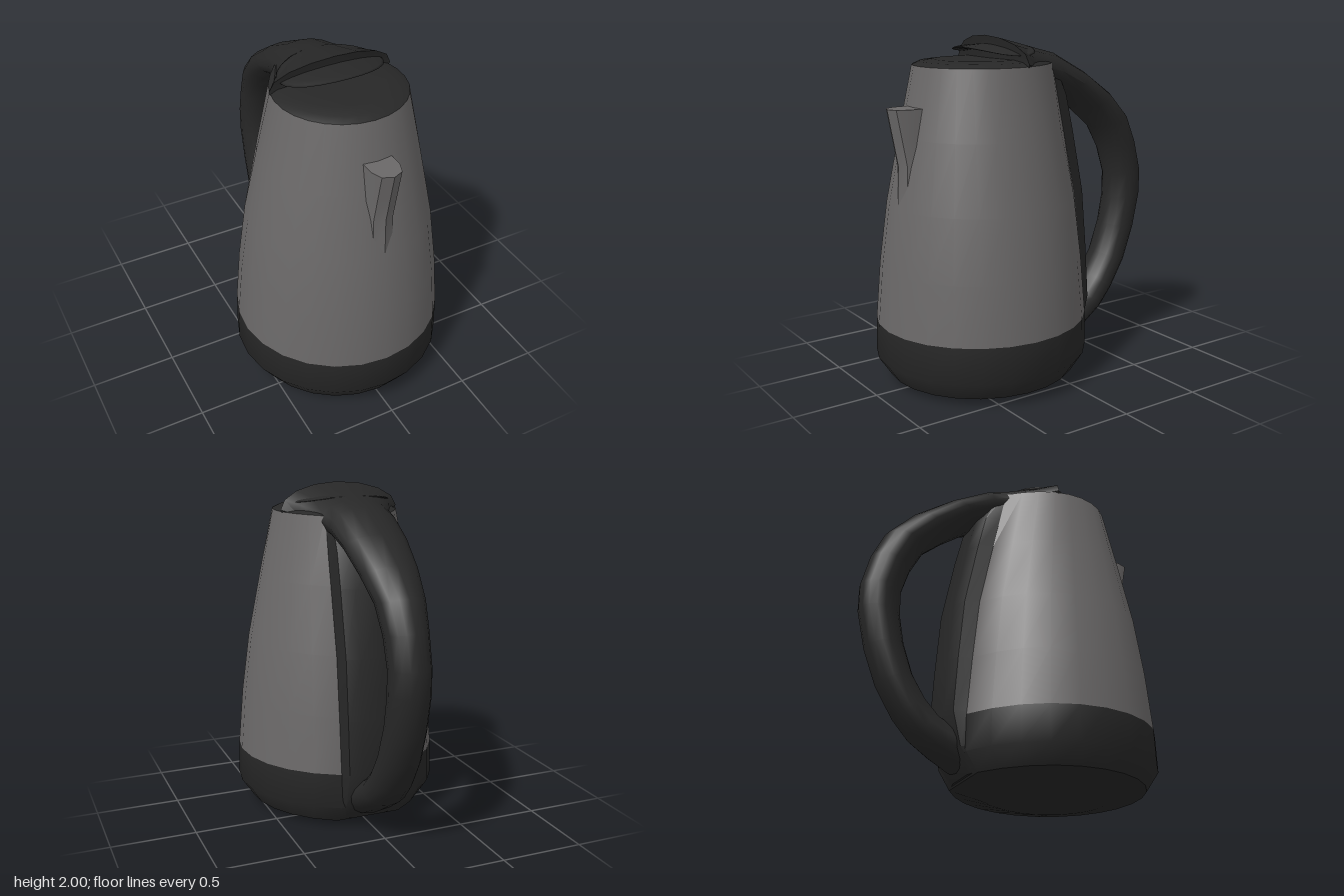
import * as THREE from 'three';
import { toCreasedNormals } from 'three/addons/utils/BufferGeometryUtils.js';

const steel = new THREE.MeshStandardMaterial({ color: 0x6a6868 });
const plastic = new THREE.MeshStandardMaterial({ color: 0x272727 });
const AXIS_Z = 0.3; // the jug axis sits forward of the centre, the handle behind it
const BACK_X = 0.2; // half width of the spine at the back of the jug

// Skin a list of closed rings; each ring runs counter-clockwise about the sweep direction
function loft(name, material, rings, { capStart = false, capEnd = false, crease = 0.75 } = {}) {
  const m = rings[0].length;
  const points = rings.flat();
  const index = [];
  for (let i = 0; i < rings.length - 1; i++) {
    for (let j = 0; j < m; j++) {
      const a = i * m + j;
      const b = i * m + ((j + 1) % m);
      index.push(a, b, b + m, a, b + m, a + m);
    }
  }
  const cap = (ring, first, flip) => {
    const centre = points.length;
    points.push([0, 1, 2].map((k) => ring.reduce((sum, p) => sum + p[k], 0) / m));
    for (let j = 0; j < m; j++) {
      const a = first + j;
      const b = first + ((j + 1) % m);
      index.push(centre, flip ? b : a, flip ? a : b);
    }
  };
  if (capStart) cap(rings[0], 0, true);
  if (capEnd) cap(rings[rings.length - 1], (rings.length - 1) * m, false);
  const geometry = new THREE.BufferGeometry();
  geometry.setAttribute('position', new THREE.Float32BufferAttribute(points.flat(), 3));
  geometry.setIndex(index);
  const mesh = new THREE.Mesh(toCreasedNormals(geometry, crease), material);
  mesh.name = name;
  return mesh;
}

// Round jug section, drawn out at the back to two corners at depth backZ
function jugRing([y, r, backZ]) {
  const n = 11;
  const end = Math.PI - Math.asin(BACK_X / r);
  const flare = backZ - (AXIS_Z + r * Math.cos(end));
  const ring = [];
  for (let i = -n; i <= n; i++) {
    const t = i / n;
    ring.push([r * Math.sin(t * end), y, AXIS_Z + r * Math.cos(t * end) + flare * t ** 6]);
  }
  return ring;
}

// Flat-fronted spine section between the jug corners
function spineRing([y, joinZ, backZ]) {
  const half = [[BACK_X, joinZ], [0.175, joinZ + (backZ - joinZ) * 0.7], [0.1, backZ]];
  return [
    ...half.map(([x, z]) => [x, y, z]),
    ...half.reverse().map(([x, z]) => [-x, y, z]),
  ];
}

// Narrow lip section with a rounded front
function spoutRing([y, frontZ]) {
  return [[-0.085, 0.6], [-0.085, frontZ - 0.09], [-0.06, frontZ - 0.025], [0, frontZ],
    [0.06, frontZ - 0.025], [0.085, frontZ - 0.09], [0.085, 0.6]].map(([x, z]) => [x, y, z]);
}

// Oval handle section between an outer and an inner point; bulge bows it forward
function handleRing([outZ, outY, inZ, inY, w, bulge = 0]) {
  const ring = [];
  const n = 16;
  for (let i = 0; i < n; i++) {
    const a = (i / n) * Math.PI * 2;
    const s = Math.sin(a);
    const c = Math.cos(a);
    ring.push([
      w * s,
      (outY + inY) / 2 + ((outY - inY) / 2) * c,
      (outZ + inZ) / 2 + ((outZ - inZ) / 2) * c - bulge * s * s,
    ]);
  }
  return ring;
}

export function createModel() {
  const kettle = new THREE.Group();
  kettle.name = 'kettle';

  // Jug: dark base, steel wall, dark lid
  kettle.add(loft('base', plastic, [
    [0, 0.34, -0.04], [0.04, 0.545, -0.25], [0.15, 0.618, -0.32], [0.36, 0.612, -0.32],
  ].map(jugRing), { capStart: true }));
  kettle.add(loft('body', steel, [
    [0.36, 0.612, -0.32], [0.7, 0.582, -0.29], [1.06, 0.533, -0.25], [1.45, 0.455, -0.165],
    [1.84, 0.373, -0.08],
  ].map(jugRing)));
  kettle.add(loft('lid', plastic, [
    [1.84, 0.373, -0.08], [1.86, 0.33, -0.03], [1.87, 0.25, 0.1],
  ].map(jugRing), { capEnd: true }));

  // Spout lip, growing out of the front wall
  kettle.add(loft('spout', steel, [
    [1.06, 0.83], [1.3, 0.82], [1.45, 0.848], [1.62, 0.88],
  ].map(spoutRing), { capEnd: true }));

  // Spine behind the jug, from the base up to the handle
  kettle.add(loft('spine', plastic, [
    [0.05, -0.2, -0.27], [0.18, -0.3, -0.36], [0.38, -0.315, -0.42], [0.7, -0.288, -0.4],
    [1.06, -0.248, -0.37], [1.45, -0.163, -0.29], [1.65, -0.12, -0.24], [1.84, -0.078, -0.13],
  ].map(spineRing), { capStart: true, capEnd: true }));

  // Handle: wide cover over the lid, sweeping back and down to the base
  kettle.add(loft('handle', plastic, [
    [0.25, 2.0, 0.25, 1.7, 0.37, 0.05],
    [0.1, 1.965, 0.1, 1.7, 0.3],
    [-0.06, 1.925, -0.04, 1.7, 0.22],
    [-0.18, 1.895, -0.14, 1.68, 0.205],
    [-0.42, 1.77, -0.25, 1.64, 0.19],
    [-0.63, 1.63, -0.4, 1.53, 0.165],
    [-0.78, 1.48, -0.54, 1.41, 0.14],
    [-0.86, 1.31, -0.62, 1.26, 0.125],
    [-0.91, 1.12, -0.67, 1.1, 0.12],
    [-0.91, 0.97, -0.67, 0.95, 0.12],
    [-0.86, 0.74, -0.64, 0.78, 0.12],
    [-0.78, 0.53, -0.58, 0.6, 0.125],
    [-0.67, 0.35, -0.5, 0.47, 0.13],
    [-0.57, 0.24, -0.42, 0.38, 0.14],
    [-0.44, 0.155, -0.33, 0.33, 0.155],
    [-0.32, 0.085, -0.2, 0.3, 0.165],
    [-0.2, 0.07, -0.1, 0.28, 0.165],
  ].map(handleRing), { capStart: true, capEnd: true }));

  // Thin curved lid tab in front of the handle cover
  const tabGeometry = new THREE.SphereGeometry(1, 24, 10).scale(0.31, 0.016, 0.2);
  const p = tabGeometry.attributes.position;
  for (let i = 0; i < p.count; i++) {
    p.setY(i, p.getY(i) - 0.04 * (p.getX(i) / 0.31) ** 2);
  }
  tabGeometry.computeVertexNormals();
  const tab = new THREE.Mesh(tabGeometry, plastic);
  tab.name = 'lidTab';
  tab.position.set(0, 1.935, 0.195);
  kettle.add(tab);

  return kettle;
}
